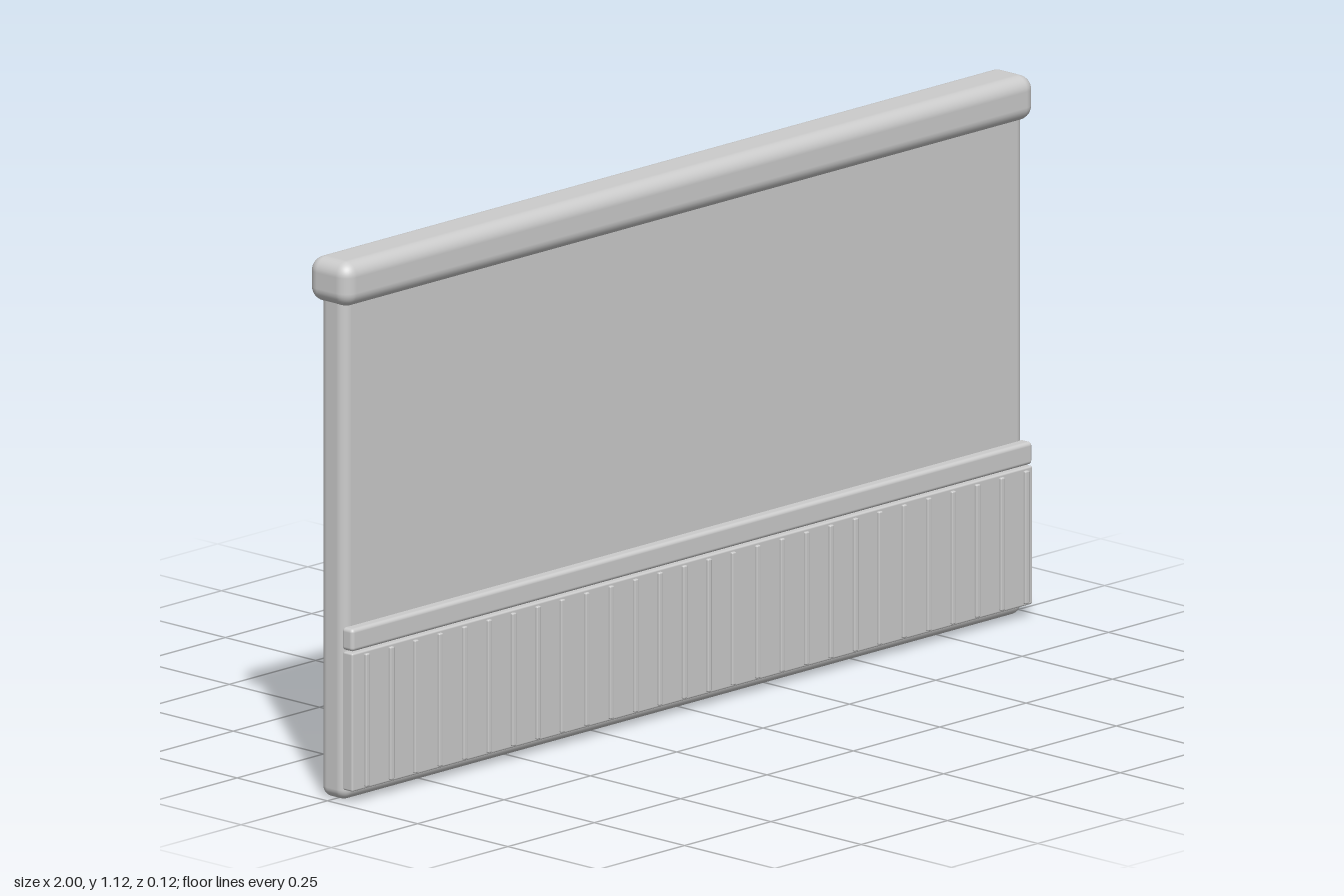
import * as THREE from 'three';
import { RoundedBoxGeometry } from 'three/addons/geometries/RoundedBoxGeometry.js';

export function createModel() {
  const group = new THREE.Group();
  group.name = 'wallPanel';
  const grey = new THREE.MeshStandardMaterial({ color: 0xcccccc });
  grey.name = 'light grey';

  // Rounded box given by its min and max corners
  function block(name, min, max, radius, segments = 4) {
    const size = max.map((v, i) => v - min[i]);
    const mesh = new THREE.Mesh(new RoundedBoxGeometry(...size, segments, radius), grey);
    mesh.position.set(...max.map((v, i) => (v + min[i]) / 2));
    mesh.name = name;
    group.add(mesh);
  }

  // Main slab and the rounded cap along its top
  block('wallSlab', [-0.985, 0, -0.038], [0.985, 1.06, 0.032], 0.022);
  block('topCap', [-1, 1.027, -0.06], [1, 1.12, 0.053], 0.03);

  // Wainscot on the front: dado rail and lower board
  block('dadoRail', [-0.985, 0.315, 0.024], [0.985, 0.362, 0.055], 0.008);
  block('lowerBoard', [-0.985, 0.025, 0.028], [0.985, 0.312, 0.055], 0.004, 2);

  // Thin upright battens, evenly spaced
  const count = 28, first = -0.945, step = 0.0707;
  for (let i = 0; i < count; i++) {
    const x = first + i * step;
    block('batten', [x - 0.006, 0.03, 0.045], [x + 0.006, 0.306, 0.061], 0.003, 2);
  }
  return group;
}
